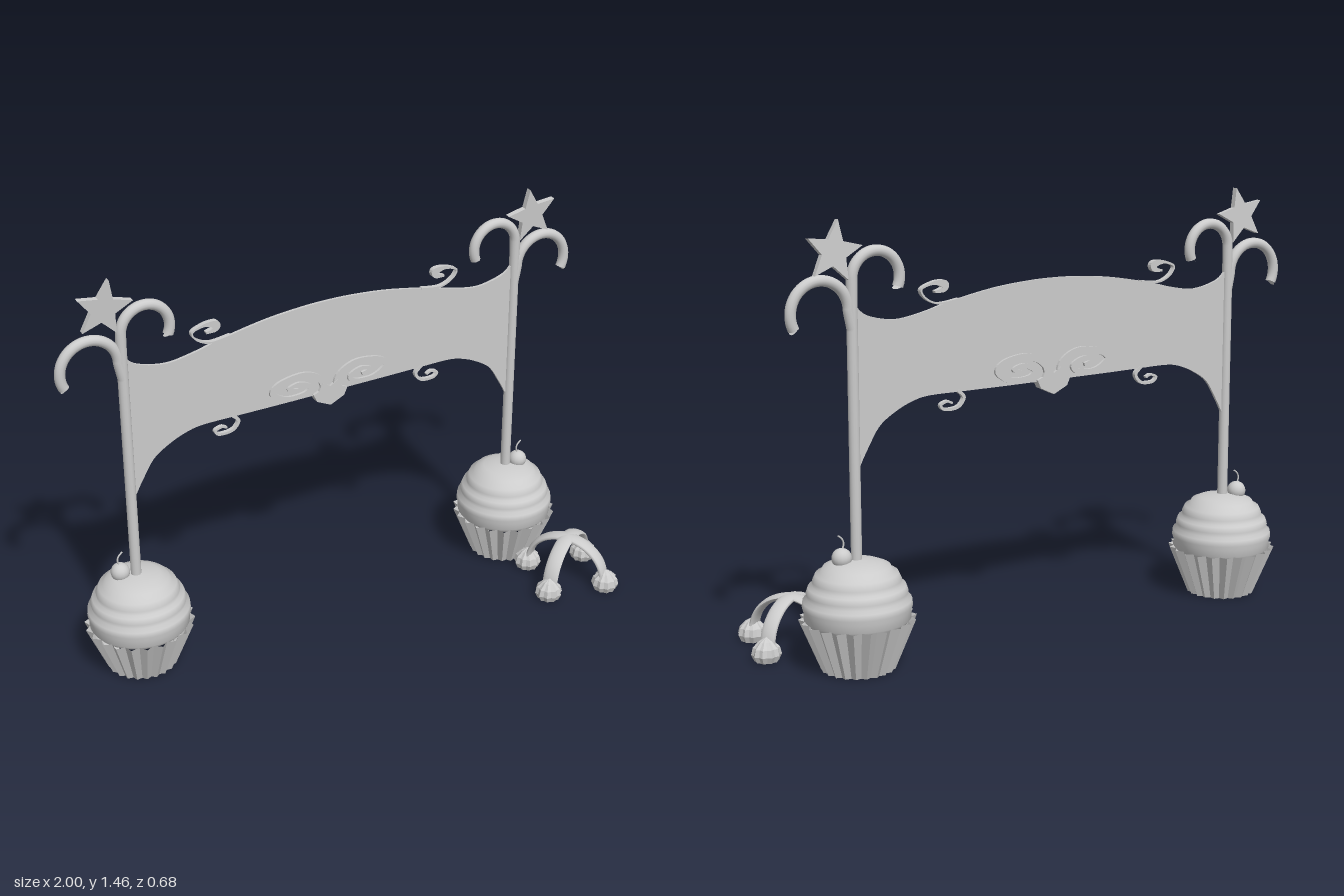
import * as THREE from 'three';

const Z = -0.148; // plane of the arch
const smooth = new THREE.MeshStandardMaterial({ color: 0xcccccc, side: THREE.DoubleSide });
const faceted = new THREE.MeshStandardMaterial({ color: 0xcccccc, side: THREE.DoubleSide, flatShading: true });
const v2 = ([x, y]) => new THREE.Vector2(x, y);

function add(parent, name, geometry, x = 0, y = 0, z = 0, material = smooth) {
  const mesh = new THREE.Mesh(geometry, material);
  mesh.name = name;
  mesh.position.set(x, y, z);
  parent.add(mesh);
  return mesh;
}

function group(parent, name, x, y, z) {
  const g = new THREE.Group();
  g.name = name;
  g.position.set(x, y, z);
  parent.add(g);
  return g;
}

// Extrusion centred on z = 0
function slab(shape, depth) {
  return new THREE.ExtrudeGeometry(shape, { depth, bevelEnabled: false, curveSegments: 24 })
    .translate(0, 0, -depth / 2);
}

// Flat curl along a path whose width follows a rule w(t)
function ribbon(points, width, depth, s) {
  const curve = new THREE.SplineCurve(points.map(([x, y]) => new THREE.Vector2(x * s, y)));
  const a = [], b = [], n = 60;
  for (let i = 0; i <= n; i++) {
    const p = curve.getPoint(i / n), t = curve.getTangent(i / n), w = width(i / n) / 2;
    a.push(new THREE.Vector2(p.x - t.y * w, p.y + t.x * w));
    b.unshift(new THREE.Vector2(p.x + t.y * w, p.y - t.x * w));
  }
  return slab(new THREE.Shape([...a, ...b]), depth);
}

// Pull every second column of a round geometry inwards
function pleat(geo, count, factor) {
  const p = geo.attributes.position;
  for (let i = 0; i < p.count; i++) {
    const k = Math.round((Math.atan2(p.getX(i), p.getZ(i)) / (2 * Math.PI)) * 2 * count);
    if (k % 2) p.setXYZ(i, p.getX(i) * factor, p.getY(i), p.getZ(i) * factor);
  }
  geo.computeVertexNormals();
  return geo;
}

function cupcake(root, name, x, cherryX, cherryZ) {
  const g = group(root, name, x, 0, -0.15);
  add(g, 'wrapper', pleat(new THREE.CylinderGeometry(0.19, 0.12, 0.17, 44, 1, true), 22, 0.9), 0, 0.085, 0, faceted);
  const profile = [
    [0.16, 0.155], [0.172, 0.17], [0.172, 0.195], [0.177, 0.21], [0.175, 0.23], [0.161, 0.24], [0.164, 0.255],
    [0.157, 0.275], [0.142, 0.28], [0.143, 0.295], [0.133, 0.317], [0.118, 0.322], [0.108, 0.34],
    [0.08, 0.352], [0.04, 0.36], [0, 0.363]];
  add(g, 'frosting', new THREE.LatheGeometry(profile.map(v2), 40));
  add(g, 'cherry', new THREE.SphereGeometry(0.033, 16, 12), cherryX, 0.37, cherryZ);
  const stem = new THREE.QuadraticBezierCurve3(
    new THREE.Vector3(0, 0, 0), new THREE.Vector3(-0.02, 0.03, 0), new THREE.Vector3(0.012, 0.05, 0));
  add(g, 'cherryStem', new THREE.TubeGeometry(stem, 10, 0.003, 6), cherryX, 0.395, cherryZ);
}

// Upright that ends in a hook; side = -1 or 1 picks the hook direction
function cane(parent, name, bottom, cx, cy, r, sweep, side) {
  const pts = [];
  for (let i = 0; i <= 24; i++) {
    const a = (sweep * i) / 24;
    pts.push(new THREE.Vector3(side * (cx - r * Math.cos(a)), cy + r * Math.sin(a), 0));
  }
  const path = new THREE.CurvePath();
  path.add(new THREE.LineCurve3(new THREE.Vector3(0, bottom, 0), new THREE.Vector3(0, cy - 0.06, 0)));
  path.add(new THREE.CatmullRomCurve3([new THREE.Vector3(0, cy - 0.06, 0), ...pts]));
  add(parent, name, new THREE.TubeGeometry(path, 140, 0.018, 14));
  const end = path.getPoint(1);
  const cap = add(parent, name + 'End', new THREE.CircleGeometry(0.018, 14), end.x, end.y, end.z);
  cap.lookAt(end.clone().add(path.getTangent(1)));
}

function star(parent, x, y, angle) {
  const pts = [];
  for (let i = 0; i < 10; i++) {
    const a = angle + (i * Math.PI) / 5, r = i % 2 ? 0.044 : 0.1;
    pts.push(new THREE.Vector2(r * Math.cos(a), r * Math.sin(a)));
  }
  add(parent, 'star', slab(new THREE.Shape(pts), 0.02), x, y, 0.002).rotation.x = 0.06;
}

function banner(root) {
  const g = group(root, 'banner', -0.02, 0, Z);
  // Outline from the left post over the top and back along the scooped underside
  const top = [[-0.75, 1.2], [-0.735, 1.168], [-0.695, 1.138], [-0.6, 1.118], [-0.5, 1.132],
    [-0.4, 1.157], [-0.236, 1.187], [-0.1, 1.2], [0, 1.203]];
  const low = [[-0.75, 0.61], [-0.735, 0.66], [-0.7, 0.725], [-0.66, 0.785], [-0.6, 0.825], [-0.54, 0.85],
    [-0.48, 0.861], [-0.36, 0.861], [-0.2, 0.86], [0, 0.86]];
  const mirror = (pts) => [...pts, ...pts.slice(0, -1).reverse().map(([x, y]) => [-x, y])];
  const outline = [
    ...new THREE.SplineCurve(mirror(top).map(v2)).getPoints(80),
    ...new THREE.SplineCurve(mirror(low).map(v2)).getPoints(80).reverse()];
  add(g, 'panel', slab(new THREE.Shape(outline), 0.01));

  const topCurl = [[-0.365, 1.163], [-0.439, 1.155], [-0.487, 1.174], [-0.505, 1.205], [-0.46, 1.222],
    [-0.42, 1.216], [-0.425, 1.199], [-0.455, 1.193]];
  const lowCurl = [[-0.37, 0.866], [-0.348, 0.84], [-0.372, 0.811], [-0.42, 0.808], [-0.436, 0.824],
    [-0.412, 0.834], [-0.392, 0.826]];
  const swirl = [[-0.022, 0.85], [-0.034, 0.915], [-0.1, 0.95], [-0.19, 0.94], [-0.222, 0.91], [-0.17, 0.877],
    [-0.1, 0.879], [-0.078, 0.902], [-0.12, 0.922], [-0.16, 0.911], [-0.125, 0.9]];
  for (const s of [1, -1]) {
    add(g, 'topCurl', ribbon(topCurl, (t) => 0.006 + 0.022 * Math.exp(-(((t - 0.75) / 0.15) ** 2)), 0.018, s));
    add(g, 'lowerCurl', ribbon(lowCurl, (t) => 0.012 - 0.005 * t, 0.014, s));
    add(g, 'centreSwirl', ribbon(swirl, (t) => 0.026 - 0.014 * t, 0.028, s));
  }
  const pendant = [[0, 0.885], [-0.03, 0.905], [-0.045, 0.875], [-0.066, 0.866], [-0.053, 0.838], [0, 0.813],
    [0.053, 0.838], [0.066, 0.866], [0.045, 0.875], [0.03, 0.905]];
  add(g, 'centrePendant', slab(new THREE.Shape(pendant.map(v2)), 0.03));
}

// Two crossed arches on ribbed feet
function crossedArches(root) {
  const g = group(root, 'crossedArches', 0.815, 0, 0.153);
  const foot = [[0.04, 0], [0.05, 0.022], [0.044, 0.046], [0.024, 0.066], [0, 0.08]];
  for (const turn of [0, Math.PI / 2]) {
    const arch = group(g, 'arch', 0, 0, 0);
    arch.rotation.y = 0.54 + turn;
    const pts = [];
    for (let i = 0; i <= 16; i++) {
      const a = (Math.PI * i) / 16;
      pts.push(new THREE.Vector3(-0.148 * Math.cos(a), 0.04 + 0.132 * Math.sin(a), 0));
    }
    const band = new THREE.TubeGeometry(new THREE.CatmullRomCurve3(pts), 32, 0.011, 12);
    add(arch, 'archBand', band.scale(1, 1, 2.6)).geometry.computeVertexNormals();
    for (const s of [-1, 1]) {
      add(arch, 'foot', pleat(new THREE.LatheGeometry(foot.map(v2), 20), 10, 0.87), s * 0.156, 0, 0, faceted);
    }
  }
}

export function createModel() {
  const root = new THREE.Group();
  root.name = 'archway';
  cupcake(root, 'rightCupcake', -0.767, -0.052, -0.018);
  cupcake(root, 'leftCupcake', 0.732, 0.048, 0.01);
  // Posts with an outward and an inward hook, topped by a star
  for (const side of [-1, 1]) {
    const post = group(root, side < 0 ? 'rightPost' : 'leftPost', side < 0 ? -0.77 : 0.731, 0, Z);
    cane(post, 'outerCane', 0.25, 0.112, 1.16, 0.1, 3.6, side);
    cane(post, 'innerCane', 0.9, 0.086, 1.255, 0.085, 3.55, -side);
    if (side < 0) star(post, -0.054, 1.36, 1.36);
    else star(post, 0.06, 1.345, 1.74);
  }
  banner(root);
  crossedArches(root);
  return root;
}
